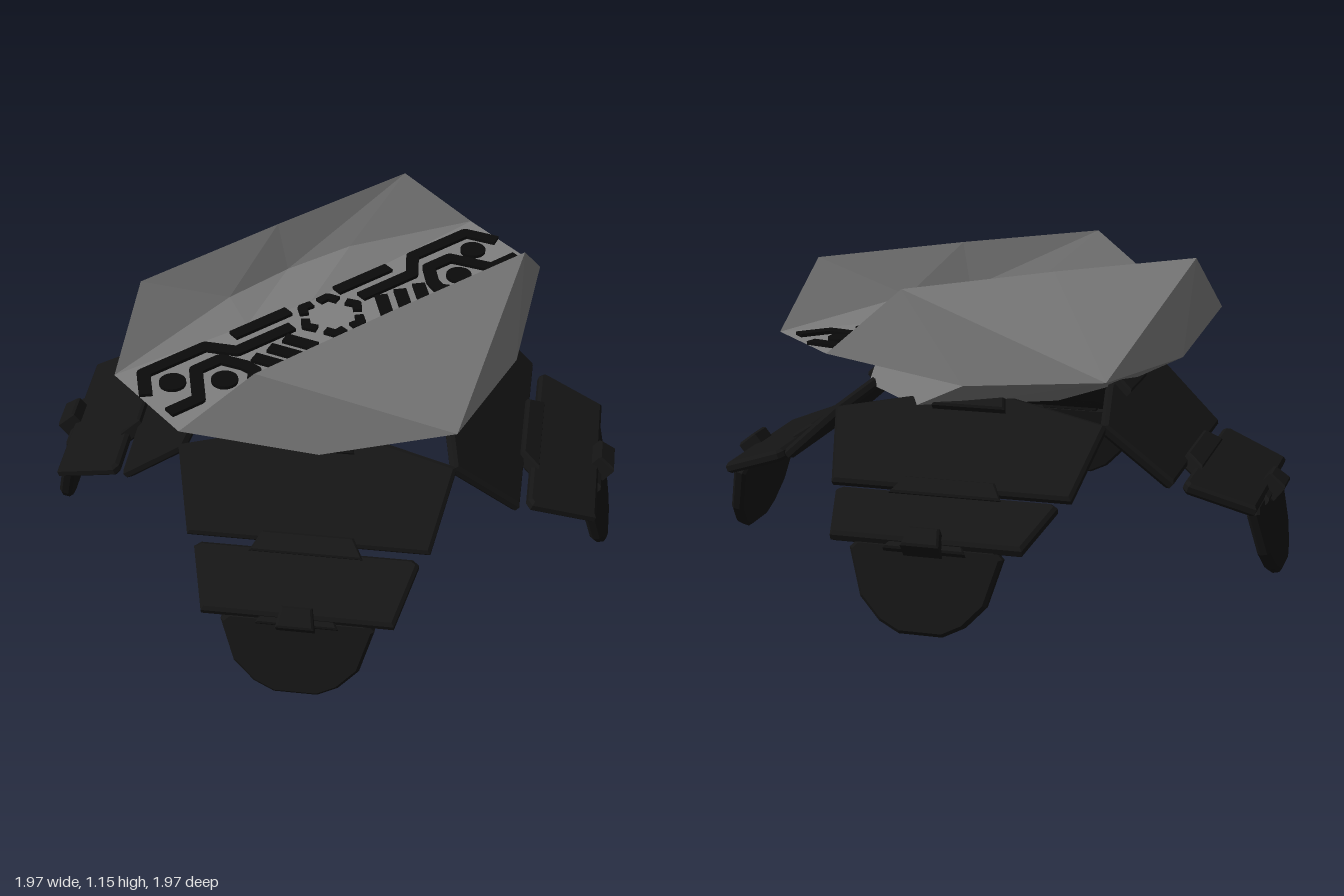
import * as THREE from 'three';

const grey = new THREE.MeshStandardMaterial({ color: 0x808080, flatShading: true });
const black = new THREE.MeshStandardMaterial({ color: 0x151515, flatShading: true });
const ink = new THREE.MeshStandardMaterial({ color: 0x0b0b0b, flatShading: true });

function add(parent, name, geometry, material) {
  const mesh = new THREE.Mesh(geometry, material);
  mesh.name = name;
  parent.add(mesh);
  return mesh;
}

// Faces of one quadrant, mirrored to all four
function quadMirrored(v, faces) {
  const pos = [];
  for (const sx of [1, -1]) for (const sz of [1, -1]) {
    for (const face of faces) {
      const ids = face.split(' ');
      if (sx * sz < 0) ids.reverse();
      for (let i = 1; i < ids.length - 1; i++) {
        for (const id of [ids[0], ids[i], ids[i + 1]]) {
          const [x, y, z] = v[id];
          pos.push(x * sx, y, z * sz);
        }
      }
    }
  }
  const g = new THREE.BufferGeometry();
  g.setAttribute('position', new THREE.Float32BufferAttribute(pos, 3));
  g.computeVertexNormals();
  return g;
}

// Bevelled plate sloping from [z, y] at its top edge to [z, y] at its foot;
// half outline is [half width, distance down the slope]
function plate(parent, name, top, bottom, half, thick) {
  const pts = [...half, ...half.slice().reverse().map(([t, s]) => [-t, s])];
  const shape = new THREE.Shape(pts.map(([t, s]) => new THREE.Vector2(t, -s)));
  const b = 0.012;
  const g = new THREE.ExtrudeGeometry(shape, {
    depth: thick - 2 * b, bevelThickness: b, bevelSize: b, bevelOffset: -b, bevelSegments: 1,
  });
  g.translate(0, 0, b - thick);
  const m = add(parent, name, g, black);
  m.position.set(0, top[1], top[0]);
  m.rotation.x = -Math.atan2(bottom[0] - top[0], top[1] - bottom[1]);
  return m;
}

// Chamfered hinge block lying across the leg
function hinge(parent, name, z, y, width, height, depth, tilt) {
  const w = width / 2, d = depth / 2;
  const shape = new THREE.Shape([[-w, -d], [w, -d], [w * 0.8, d], [-w * 0.8, d]]
    .map(([a, c]) => new THREE.Vector2(a, c)));
  const g = new THREE.ExtrudeGeometry(shape, {
    depth: height - 0.016, bevelThickness: 0.008, bevelSize: 0.008, bevelOffset: -0.008, bevelSegments: 1,
  });
  g.translate(0, 0, -height / 2);
  const m = add(parent, name, g, black);
  m.position.set(0, y, z);
  m.rotation.x = tilt;
}

function makeLeg(angle) {
  const leg = new THREE.Group();
  leg.name = 'leg';
  plate(leg, 'upperLegPlate', [0.45, 0.72], [0.764, 0.44],
    [[0.15, 0], [0.52, 0.092], [0.45, 0.42]], 0.045);
  plate(leg, 'lowerLegPlate', [0.79, 0.435], [1.05, 0.34],
    [[0.39, 0], [0.415, 0.02], [0.35, 0.277]], 0.045);
  plate(leg, 'foot', [1.04, 0.32], [1.11, 0.01],
    [[0.25, 0], [0.28, 0.03], [0.23, 0.2], [0.155, 0.28], [0.08, 0.318]], 0.05);
  hinge(leg, 'hipHinge', 0.47, 0.715, 0.28, 0.06, 0.12, -0.85);
  hinge(leg, 'kneeHinge', 0.775, 0.44, 0.42, 0.06, 0.08, -1.0);
  hinge(leg, 'ankleHinge', 1.06, 0.34, 0.14, 0.08, 0.08, -0.9);
  hinge(leg, 'ankleBrace', 1.03, 0.315, 0.3, 0.05, 0.06, -0.9);
  leg.rotation.y = angle;
  return leg;
}

// Raised strip made of bars with round joints
function stroke(parent, points, width) {
  const h = 0.014, y = 0.916;
  points.forEach(([x, z], i) => {
    if (i > 0 && i < points.length - 1) {
      add(parent, 'inlayJoint', new THREE.CylinderGeometry(width / 2, width / 2, h, 12), ink).position.set(x, y, z);
    }
    if (i === points.length - 1) return;
    const [x2, z2] = points[i + 1];
    const bar = add(parent, 'inlayBar', new THREE.BoxGeometry(Math.hypot(x2 - x, z2 - z), h, width), ink);
    bar.position.set((x + x2) / 2, y, (z + z2) / 2);
    bar.rotation.y = -Math.atan2(z2 - z, x2 - x);
  });
}

function makeInlay() {
  const inlay = new THREE.Group();
  inlay.name = 'channelInlay';
  const w = 0.05;
  for (const s of [1, -1]) {
    const draw = (pts) => stroke(inlay, pts.map(([x, z]) => [x, z * s]), w);
    draw([[-0.03, 0.84], [-0.145, 0.775], [-0.145, 0.5], [-0.05, 0.42], [-0.05, 0.165]]);
    draw([[-0.14, 0.375], [-0.14, 0.115]]);
    draw([[0.105, 0.83], [0.105, 0.7], [-0.045, 0.61], [-0.045, 0.5], [0.04, 0.45], [0.09, 0.44], [0.145, 0.485]]);
    for (let i = 0; i < 3; i++) {
      const x = 0.02 - i * 0.014, z = 0.395 - i * 0.082;
      draw([[x, z], [x + 0.115, z - 0.06]]);
    }
    for (const [x, z] of [[-0.035, 0.72], [0.068, 0.56]]) {
      add(inlay, 'inlayDot', new THREE.CylinderGeometry(0.05, 0.05, 0.014, 20), ink).position.set(x, 0.916, z * s);
    }
  }
  // Broken hexagon in the middle: six separate corners
  for (let i = 0; i < 6; i++) {
    const p = (a, r) => [-0.02 + r * Math.sin(a), r * Math.cos(a)];
    const a = i * Math.PI / 3;
    stroke(inlay, [p(a - 0.36, 0.104), p(a, 0.122), p(a + 0.36, 0.104)], 0.035);
  }
  return inlay;
}

export function createModel() {
  const model = new THREE.Group();
  model.name = 'walker';

  // Twin-ridged shell with a sunken channel, and the hull under it
  const v = {
    ridge: [0.36, 1.15, 0.63], ridgeMid: [0.36, 1.155, 0],
    tip: [0.21, 0.91, 0.86], tipMid: [0, 0.91, 0.86],
    side: [0.73, 0.81, 0], corner: [0.52, 0.81, 0.47],
    lip: [0.16, 0.81, 0.47], lipMid: [0, 0.81, 0.47],
    wall: [0.28, 0.98, 0.29], wallMid: [0.3, 0.98, 0],
    floor: [0.17, 0.91, 0.29], floorMid: [0.15, 0.91, 0],
    lane: [0, 0.91, 0.29], centre: [0, 0.91, 0],
    lowSide: [0.39, 0.67, 0], lowCorner: [0.3, 0.68, 0.36],
    lowEnd: [0.2, 0.67, 0.5], lowEndMid: [0, 0.67, 0.5], belly: [0, 0.67, 0],
  };
  add(model, 'shell', quadMirrored(v, [
    'ridge corner side', 'ridge side ridgeMid', 'tip corner ridge',
    'ridge wall tip', 'ridge ridgeMid wallMid wall',
    'tip wall floor', 'wall wallMid floorMid floor',
    'tip floor lane tipMid', 'floor floorMid centre lane',
    'tip lip corner', 'tip tipMid lipMid lip',
  ]), grey);
  add(model, 'lowerHull', quadMirrored(v, [
    'side corner lowCorner lowSide', 'corner lip lowEnd lowCorner',
    'lip lipMid lowEndMid lowEnd', 'lowSide lowCorner belly',
    'lowCorner lowEnd belly', 'lowEnd lowEndMid belly',
  ]), grey);

  model.add(makeInlay());

  // Four legs on the diagonals
  for (let i = 0; i < 4; i++) model.add(makeLeg(Math.PI / 4 + i * Math.PI / 2));
  return model;
}
